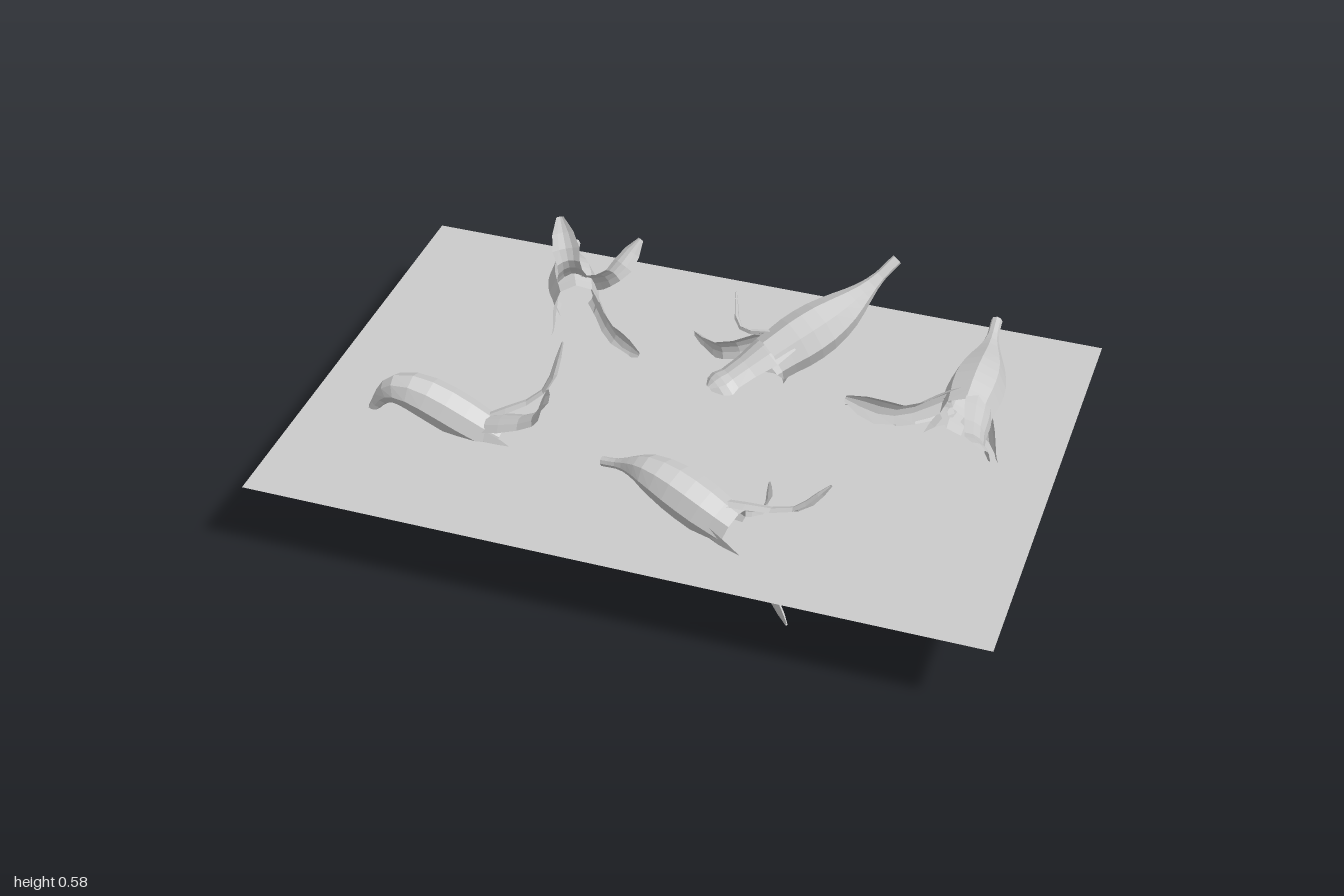
import * as THREE from 'three';

const material = new THREE.MeshStandardMaterial({ color: 0xcccccc, flatShading: true, side: THREE.DoubleSide });
const UP = new THREE.Vector3(0, 1, 0);
const V = (x, y, z) => new THREE.Vector3(x, y, z);

// Surface through rows of points
function skin(rows, name) {
  const n = rows[0].length, index = [];
  for (let i = 0; i < rows.length - 1; i++) {
    for (let j = 0; j < n - 1; j++) {
      const a = i * n + j, b = a + n;
      index.push(a, a + 1, b, a + 1, b + 1, b);
    }
  }
  const geo = new THREE.BufferGeometry().setFromPoints(rows.flat());
  geo.setIndex(index);
  geo.computeVertexNormals();
  const mesh = new THREE.Mesh(geo, material);
  mesh.name = name;
  return mesh;
}

// Eight-sided body: thin stem, swelling to a hollow open end
function makeBody(curve, radius) {
  const steps = 12, rows = [Array(9).fill(curve.getPoint(0))];
  for (let i = 0; i <= steps; i++) {
    const t = i / steps;
    const swell = THREE.MathUtils.smoothstep(t, 0.12, 0.75);
    const taper = 0.12 * THREE.MathUtils.smoothstep(t, 0.8, 1);
    const r = radius * (0.2 + 0.8 * swell - taper);
    const c = curve.getPoint(t), dir = curve.getTangent(t);
    const side = dir.clone().cross(UP).normalize(), up = side.clone().cross(dir);
    rows.push(Array.from({ length: 9 }, (_, j) => {
      const a = (j / 8) * Math.PI * 2;
      return c.clone().addScaledVector(side, r * Math.cos(a)).addScaledVector(up, r * Math.sin(a));
    }));
  }
  return skin(rows, 'body');
}

// Arched strip that leaves the open end of the body and curls out to its tip
function makeStrip(body, radius, tip, width) {
  const end = body.getPoint(1), axis = body.getTangent(1);
  const away = tip.clone().sub(end);
  const radial = away.addScaledVector(axis, -away.dot(axis)).normalize();
  const side = axis.clone().cross(radial);
  const root = end.clone().addScaledVector(axis, -0.06).addScaledVector(radial, radius * 0.65);
  const mid = end.clone().lerp(tip, 0.5).addScaledVector(axis, 0.03).addScaledVector(radial, 0.015);
  const curve = new THREE.CatmullRomCurve3([root, mid, tip]);
  const profile = [1, 1.05, 0.85, 0.8, 0.95, 0.75, 0.25];
  const rows = profile.map((p, i) => {
    const t = i / (profile.length - 1), w = width * p;
    const c = curve.getPoint(t), out = side.clone().cross(curve.getTangent(t)).normalize();
    return [-1, -0.5, 0, 0.5, 1].map((u) =>
      c.clone().addScaledVector(side, u * w).addScaledVector(out, (0.5 - u * u) * w * 0.45));
  });
  return skin(rows, 'peelStrip');
}

// One peel: stem tip, middle and open end of the body, then a tip and half width per strip
function makePeel(name, radius, spine, strips) {
  const peel = new THREE.Group();
  peel.name = name;
  const curve = new THREE.CatmullRomCurve3(spine);
  peel.add(makeBody(curve, radius));
  for (const [tip, width] of strips) peel.add(makeStrip(curve, radius, tip, width));
  return peel;
}

export function createModel() {
  const model = new THREE.Group();
  model.name = 'bananaPeels';

  // Flat sheet cutting through the peels
  const sheet = new THREE.Mesh(new THREE.PlaneGeometry(2, 1.333).rotateX(-Math.PI / 2), material);
  sheet.position.y = 0.27;
  sheet.name = 'groundSheet';
  model.add(sheet);

  model.add(
    makePeel('backLeftPeel', 0.072,
      [V(-0.57, 0.3, -0.66), V(-0.53, 0.31, -0.52), V(-0.45, 0.31, -0.35)],
      [[V(-0.48, 0.18, -0.14), 0.04], [V(-0.21, 0.29, -0.2), 0.04],
        [V(-0.5, 0.58, -0.37), 0.04], [V(-0.29, 0.5, -0.45), 0.035]]),
    makePeel('backMiddlePeel', 0.076,
      [V(0.44, 0.56, -0.49), V(0.33, 0.45, -0.37), V(0.17, 0.36, -0.2)],
      [[V(0.04, 0.33, -0.06), 0.06], [V(-0.1, 0.29, -0.35), 0.04],
        [V(0.04, 0.49, -0.3), 0.025], [V(0.14, 0.04, -0.3), 0.035]]),
    makePeel('backRightPeel', 0.078,
      [V(0.72, 0.385, -0.54), V(0.73, 0.355, -0.36), V(0.73, 0.335, -0.14)],
      [[V(0.44, 0.44, 0.01), 0.05], [V(0.84, 0.42, 0.1), 0.05], [V(0.94, 0.13, 0.02), 0.04],
        [V(0.49, 0.03, -0.08), 0.045], [V(0.38, 0.26, -0.19), 0.03]]),
    makePeel('frontRightPeel', 0.066,
      [V(-0.12, 0.33, 0.335), V(0.02, 0.36, 0.375), V(0.27, 0.285, 0.44)],
      [[V(0.46, 0.14, 0.59), 0.045], [V(0.5, 0.42, 0.355), 0.04],
        [V(0.31, 0.31, 0.26), 0.03], [V(0.22, 0.04, 0.4), 0.03]]),
    makePeel('frontLeftPeel', 0.06,
      [V(-0.865, 0.2, 0.23), V(-0.74, 0.35, 0.235), V(-0.45, 0.25, 0.235)],
      [[V(-0.32, 0.5, 0.09), 0.035], [V(-0.28, 0.5, 0.31), 0.035], [V(-0.26, 0.16, 0.33), 0.045],
        [V(-0.41, 0.003, 0.235), 0.035], [V(-0.48, 0.11, 0.07), 0.03]]),
  );
  return model;
}
